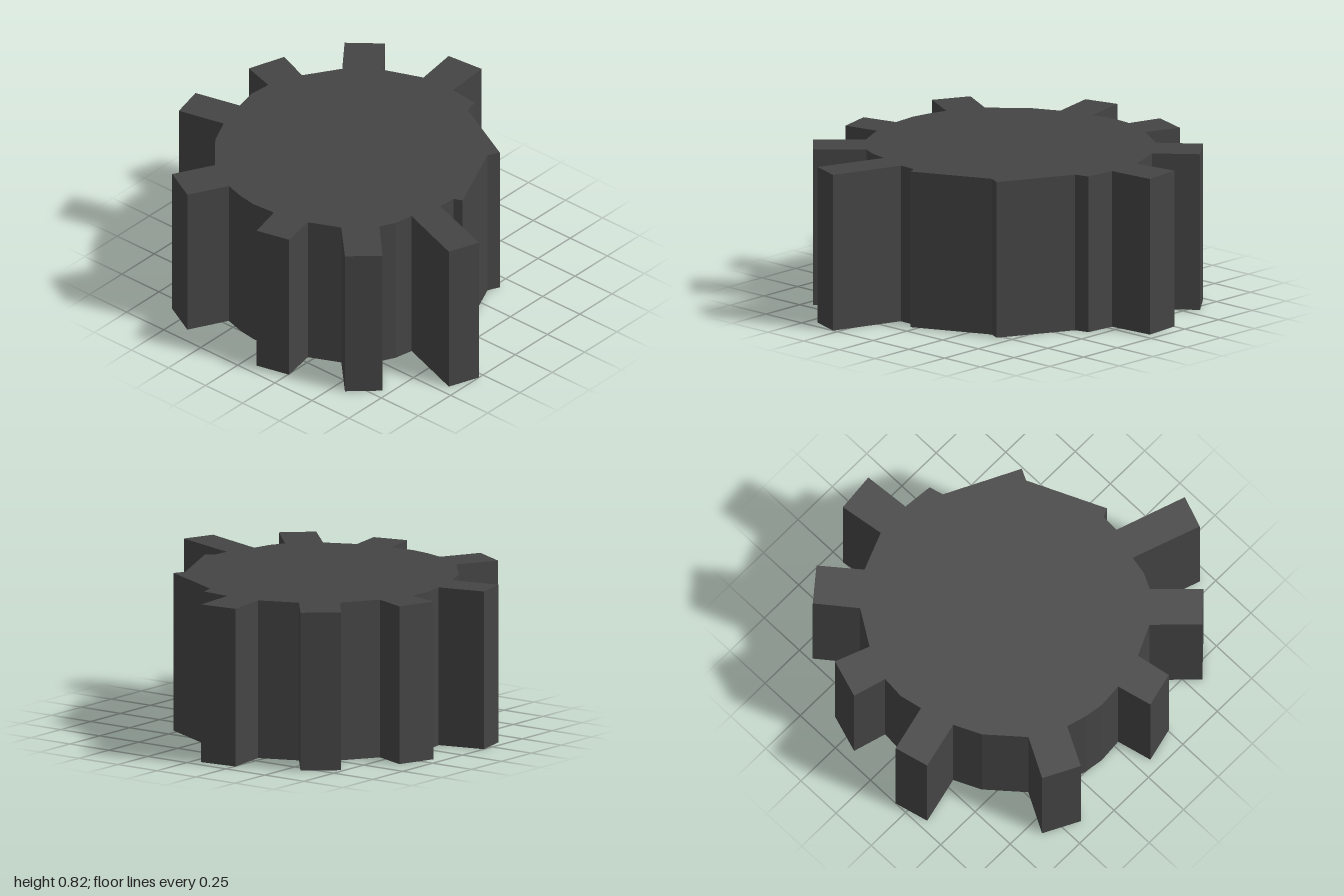
import * as THREE from 'three';

const HEIGHT = 0.82;

// Each tooth in plan (x, z): root, tip, tip, root, then the valley points up to the next tooth.
const TEETH = [
  { tooth: [[-0.22, -0.69], [-0.255, -0.925], [-0.05, -0.945], [-0.03, -0.7]],
    valley: [[0.13, -0.685], [0.15, -0.61], [0.53, -0.42], [0.5, -0.36], [0.68, 0.04], [0.635, 0.06]] },
  { tooth: [[0.63, 0.155], [1.0, 0.28], [0.94, 0.445], [0.58, 0.32]], valley: [[0.56, 0.42]] },
  { tooth: [[0.52, 0.5], [0.71, 0.695], [0.57, 0.825], [0.38, 0.635]], valley: [] },
  { tooth: [[0.22, 0.71], [0.255, 0.895], [0.075, 0.94], [0.03, 0.755]],
    valley: [[-0.1, 0.765], [-0.2, 0.75]] },
  { tooth: [[-0.305, 0.72], [-0.41, 0.92], [-0.595, 0.825], [-0.485, 0.62]], valley: [[-0.64, 0.44]] },
  { tooth: [[-0.705, 0.3], [-0.955, 0.36], [-1.0, 0.18], [-0.755, 0.12]], valley: [[-0.78, 0]] },
  { tooth: [[-0.77, -0.12], [-0.945, -0.17], [-0.88, -0.37], [-0.7, -0.3]], valley: [] },
  { tooth: [[-0.585, -0.48], [-0.735, -0.67], [-0.575, -0.8], [-0.42, -0.61]], valley: [] },
];

// Upright prism from a plan outline, standing on y = 0.
function prism(name, outline, material) {
  const shape = new THREE.Shape(outline.map(([x, z]) => new THREE.Vector2(x, z)));
  const geometry = new THREE.ExtrudeGeometry(shape, { depth: HEIGHT, bevelEnabled: false });
  geometry.rotateX(Math.PI / 2).translate(0, HEIGHT, 0);
  const mesh = new THREE.Mesh(geometry, material);
  mesh.name = name;
  return mesh;
}

export function createModel() {
  const group = new THREE.Group();
  group.name = 'gear';
  const material = new THREE.MeshStandardMaterial({ color: 0x444444 });

  // Irregular core running through all tooth roots and valleys
  const core = TEETH.flatMap(({ tooth, valley }) => [tooth[0], tooth[3], ...valley]);
  group.add(prism('gearBody', core, material));

  // Teeth standing on the core's root edges
  TEETH.forEach(({ tooth }, i) => group.add(prism(`tooth${i + 1}`, tooth, material)));
  return group;
}
